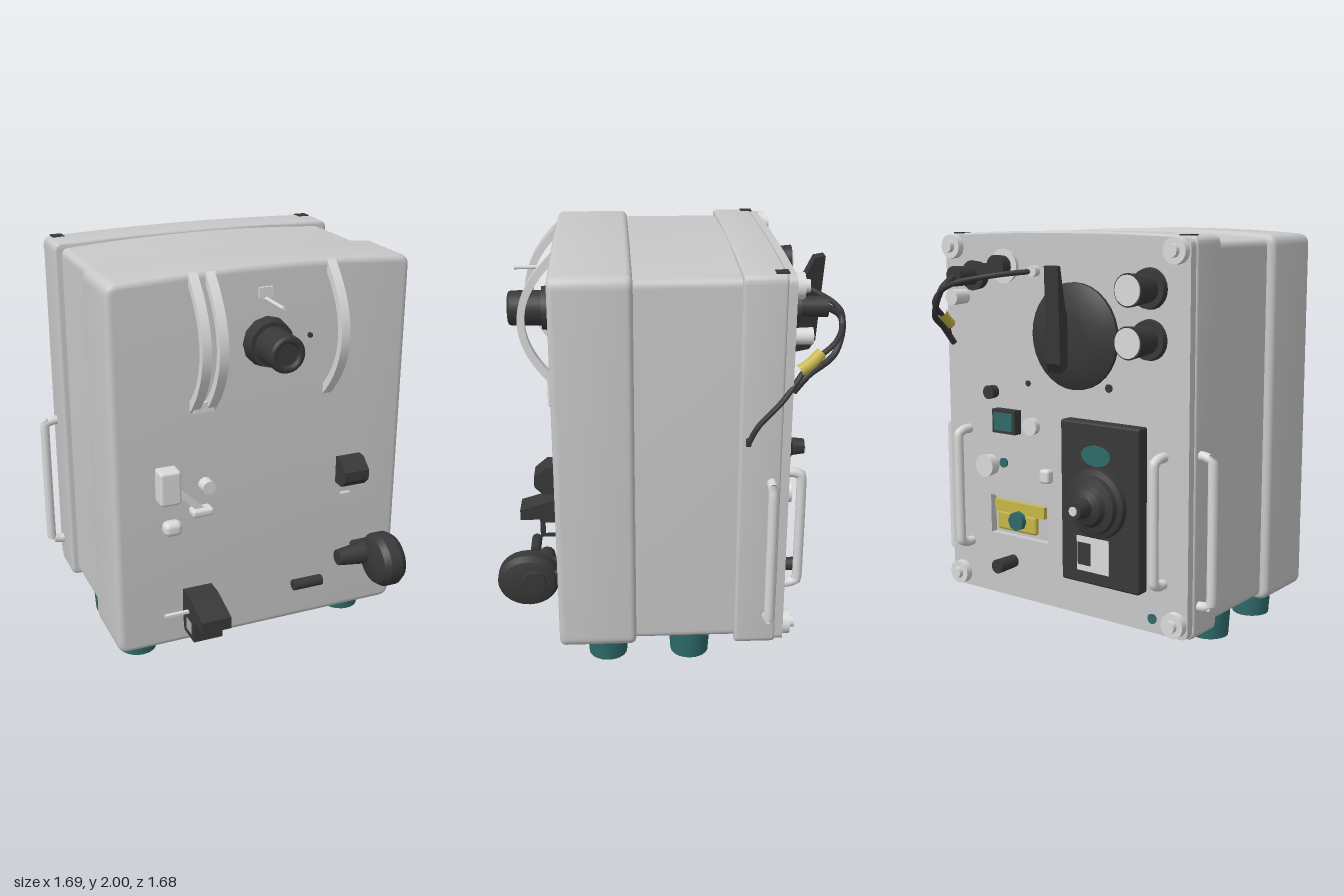
import * as THREE from 'three';
import { toCreasedNormals } from 'three/addons/utils/BufferGeometryUtils.js';
import { RoundedBoxGeometry } from 'three/addons/geometries/RoundedBoxGeometry.js';

const material = (name, color) => Object.assign(new THREE.MeshStandardMaterial({ color }), { name });

export function createModel() {
  const shell = material('shell grey', 0xc8c8c8);
  const pale = material('pale fittings', 0xd9d9d9);
  const dark = material('dark plastic', 0x383838);
  const teal = material('teal', 0x2f6a6a);
  const yellow = material('yellow', 0xc8b746);

  const model = new THREE.Group();
  model.name = 'instrumentCase';

  const add = (name, geo, mat, x = 0, y = 0, z = 0) => {
    const mesh = new THREE.Mesh(geo, mat);
    mesh.name = name;
    mesh.position.set(x, y, z);
    model.add(mesh);
    return mesh;
  };
  const box = (w, h, d) => new THREE.BoxGeometry(w, h, d);
  const rbox = (w, h, d, r = 0.015) => new RoundedBoxGeometry(w, h, d, 2, r);
  // cylinder along z; first radius is the +z end
  const zCyl = (rFront, rBack, len, seg = 24) =>
    new THREE.CylinderGeometry(rFront, rBack, len, seg).rotateX(Math.PI / 2);
  // profile drawn in (z, y), given a width along x and centred on x = 0
  const sideExtrude = (shape, width) =>
    new THREE.ExtrudeGeometry(shape, { depth: width, bevelEnabled: false, curveSegments: 20 })
      .rotateY(-Math.PI / 2).translate(width / 2, 0, 0);
  const polygon = (pts) => new THREE.Shape(pts.map(([a, b]) => new THREE.Vector2(a, b)));
  // lathe profile [radius, distance] pointing out of the back (-z)
  const backLathe = (pts, seg = 32) => toCreasedNormals(
    new THREE.LatheGeometry(pts.map(([r, h]) => new THREE.Vector2(r, h)), seg).rotateX(-Math.PI / 2), 0.6);

  // ---- Case: rounded slabs with a slightly bowed top ----
  const outline = (w, y0, yEdge, yTop, r) => {
    const s = new THREE.Shape();
    s.moveTo(-w + r, y0);
    s.lineTo(w - r, y0);
    s.quadraticCurveTo(w, y0, w, y0 + r);
    s.lineTo(w, yEdge - r);
    s.quadraticCurveTo(w, yEdge, w - r, yEdge);
    s.quadraticCurveTo(0, 2 * yTop - yEdge, -w + r, yEdge);
    s.quadraticCurveTo(-w, yEdge, -w, yEdge - r);
    s.lineTo(-w, y0 + r);
    s.quadraticCurveTo(-w, y0, -w + r, y0);
    return s;
  };
  const slab = (shape, z0, z1, bevel) => toCreasedNormals(
    new THREE.ExtrudeGeometry(shape, {
      depth: z1 - z0 - 2 * bevel, bevelEnabled: bevel > 0, bevelSize: bevel, bevelThickness: bevel,
      bevelOffset: -bevel, bevelSegments: 4, curveSegments: 10,
    }).translate(0, 0, z0 + bevel), 0.6);
  add('frontCover', slab(outline(0.755, 0.12, 1.975, 2.0, 0.06), 0.17, 0.545, 0.03), shell);
  add('caseMiddle', slab(outline(0.715, 0.14, 1.95, 1.975, 0.04), -0.36, 0.22, 0), shell);
  add('rearFlange', slab(outline(0.752, 0.12, 1.975, 1.99, 0.04), -0.51, -0.31, 0.015), shell);

  // rear panel with a recessed window
  const panelShape = outline(0.745, 0.13, 1.965, 1.98, 0.04);
  panelShape.holes.push(new THREE.Path([
    [0.09, 0.45], [0.09, 0.65], [0.47, 0.65], [0.47, 0.45]].map(([a, b]) => new THREE.Vector2(a, b))));
  add('rearPanel', slab(panelShape, -0.548, -0.5, 0), shell);

  // ---- Feet, bottom bracket, corner fasteners ----
  for (const s of [-1, 1]) {
    for (const z of [0.31, -0.1]) {
      add('foot', new THREE.CylinderGeometry(0.105, 0.095, 0.15, 20), teal, s * 0.585, 0.075, z);
    }
    for (const y of [0.2, 1.91]) {
      add('cornerBoss', zCyl(0.06, 0.06, 0.04), pale, s * 0.68, y, -0.565);
      add('cornerScrew', zCyl(0.03, 0.03, 0.05, 12), pale, s * 0.68, y, -0.585);
    }
    add('cornerPocket', box(0.06, 0.006, 0.06), dark, s * 0.69, 1.977, -0.485);
  }
  const bracket = polygon([[-0.42, 0.14], [-0.42, 0.06], [-0.24, 0.05], [-0.22, 0.005], [0.11, 0.005],
    [0.13, 0.06], [0.41, 0.06], [0.41, 0.14]]);
  add('bottomBracket', new THREE.ExtrudeGeometry(bracket, { depth: 0.05, bevelEnabled: false }), shell, 0, 0, 0.165);

  // ---- Tube handles on the sides and the rear ----
  const tubeHandle = (y0, y1, out) => new THREE.TubeGeometry(new THREE.CatmullRomCurve3([
    [-0.02, y0], [out - 0.045, y0], [out - 0.012, y0 + 0.012], [out, y0 + 0.05],
    [out, y1 - 0.05], [out - 0.012, y1 - 0.012], [out - 0.045, y1], [-0.02, y1],
  ].map(([x, y]) => new THREE.Vector3(x, y, 0)), false, 'catmullrom', 0.3), 60, 0.024, 10);
  for (const s of [-1, 1]) {
    add('sideHandle', tubeHandle(0.28, 0.99, 0.075), pale, s * 0.745, 0, -0.465).rotation.y = s > 0 ? 0 : Math.PI;
    add('rearHandle', tubeHandle(0.38, 0.98, 0.085), pale, s * 0.61, 0, -0.545).rotation.y = Math.PI / 2;
  }

  // ---- Front: bowed strips ----
  const bow = new THREE.Shape();
  bow.moveTo(0.54, 1.99);
  bow.quadraticCurveTo(0.88, 1.66, 0.54, 1.33);
  bow.lineTo(0.54, 1.385);
  bow.quadraticCurveTo(0.81, 1.66, 0.54, 1.935);
  bow.closePath();
  for (const x of [-0.352, -0.27, 0.333]) {
    add('bowedStrip', toCreasedNormals(sideExtrude(bow, 0.045), 0.6), pale, x);
  }
  add('stripBridge', box(0.1, 0.05, 0.03), pale, -0.31, 1.36, 0.55);

  // front lens barrel with collar and bore
  add('lensCollar', zCyl(0.11, 0.122, 0.07, 12), dark, 0.01, 1.635, 0.575);
  add('lensBarrel', zCyl(0.088, 0.088, 0.2), dark, 0.01, 1.635, 0.66);
  add('lensRim', new THREE.TorusGeometry(0.07, 0.018, 8, 28), dark, 0.01, 1.635, 0.762);
  add('frontPin', zCyl(0.01, 0.01, 0.2, 8), pale, 0, 1.84, 0.64);
  add('pinPlate', box(0.07, 0.05, 0.015), pale, 0, 1.87, 0.55);
  add('frontDot', zCyl(0.012, 0.012, 0.02, 10), dark, 0.23, 1.64, 0.55);

  // front pale fittings
  add('paleBlock', rbox(0.105, 0.17, 0.09), pale, -0.5, 1.005, 0.585);
  add('paleLever', box(0.16, 0.03, 0.03), pale, -0.38, 0.895, 0.565).rotation.z = -0.75;
  add('paleLeverTip', rbox(0.11, 0.04, 0.07), pale, -0.33, 0.84, 0.57);
  add('paleButton', zCyl(0.033, 0.036, 0.06, 16), pale, -0.3, 0.965, 0.57);
  add('paleKnob', rbox(0.095, 0.075, 0.07, 0.03), pale, -0.48, 0.78, 0.575);
  add('palePin', box(0.12, 0.012, 0.02), pale, -0.48, 0.335, 0.62);
  add('paleSlot', box(0.05, 0.01, 0.02), pale, 0.455, 0.785, 0.55);

  // front dark fittings
  const cube = polygon([[0.54, 0.85], [0.54, 0.99], [0.59, 0.99], [0.65, 0.94], [0.65, 0.89], [0.61, 0.85]]);
  add('frontSwitch', sideExtrude(cube, 0.13), dark, 0.465);
  const latch = polygon([[0.54, 0.42], [0.63, 0.42], [0.8, 0.37], [0.8, 0.31], [0.69, 0.31], [0.69, 0.2], [0.56, 0.2], [0.54, 0.3]]);
  latch.holes.push(new THREE.Path([[0.59, 0.225], [0.59, 0.29], [0.66, 0.29], [0.66, 0.225]]
    .map(([a, b]) => new THREE.Vector2(a, b))));
  add('frontLatch', sideExtrude(latch, 0.15), dark, -0.345);
  add('crossBar', new THREE.CylinderGeometry(0.027, 0.027, 0.155, 12).rotateZ(Math.PI / 2), dark, 0.19, 0.395, 0.68);

  // front hand wheel and its spindle
  const rim = [[0, -0.075], [0.08, -0.075], [0.12, -0.06], [0.14, -0.03], [0.14, 0.03], [0.12, 0.06], [0.07, 0.075], [0, 0.075]];
  const wheel = toCreasedNormals(new THREE.LatheGeometry(rim.map(([r, h]) => new THREE.Vector2(r, h)), 28).rotateZ(-Math.PI / 2), 0.5);
  add('handWheel', wheel, dark, 0.615, 0.445, 0.69).scale.set(1, 0.96, 1.06);
  add('wheelSpindle', new THREE.CylinderGeometry(0.06, 0.04, 0.16, 12).rotateZ(-Math.PI / 2), dark, 0.475, 0.455, 0.61);
  add('wheelMount', rbox(0.16, 0.1, 0.1), dark, 0.58, 0.45, 0.57);
  add('wheelHub', new THREE.CylinderGeometry(0.055, 0.06, 0.02, 20).rotateZ(-Math.PI / 2), dark, 0.695, 0.46, 0.66);

  // ---- Rear: rotary selector with a leaning lever ----
  add('selectorDisc', backLathe([[0.255, 0], [0.255, 0.02], [0.2, 0.05], [0.1, 0.065], [0, 0.065]]), dark, -0.1, 1.5, -0.545);
  const blade = polygon([[-0.56, 1.36], [-0.56, 1.58], [-0.66, 1.64], [-0.78, 1.84], [-0.84, 1.84], [-0.805, 1.4], [-0.77, 1.355]]);
  const lever = sideExtrude(blade, 0.08);
  const p = lever.attributes.position;
  for (let i = 0; i < p.count; i++) p.setX(i, p.getX(i) - 0.03 + (p.getZ(i) + 0.56) * 0.6);
  lever.computeVertexNormals();
  add('selectorLever', lever, dark);

  // rear flared knobs with pale ends
  for (const y of [1.51, 1.74]) {
    add('knobBase', zCyl(0.095, 0.09, 0.03), dark, -0.53, y, -0.56);
    add('flaredKnob', zCyl(0.06, 0.075, 0.17), dark, -0.53, y, -0.635);
    add('knobEnd', zCyl(0.068, 0.068, 0.008), pale, -0.53, y, -0.722);
  }

  // rear joystick unit
  add('joystickPlate', rbox(0.46, 0.79, 0.075, 0.012), dark, -0.285, 0.715, -0.578);
  add('joystickBoot', backLathe([[0.17, 0], [0.165, 0.03], [0.14, 0.04], [0.135, 0.065], [0.1, 0.075], [0.085, 0.1],
    [0.05, 0.115], [0.042, 0.185], [0, 0.185]]), dark, -0.28, 0.73, -0.613);
  add('joystickTip', zCyl(0.022, 0.022, 0.01, 12), pale, -0.28, 0.73, -0.801);
  add('tealLabel', zCyl(1, 1, 0.008, 24), teal, -0.27, 0.955, -0.617).scale.set(0.085, 0.05, 1);
  add('palePlate', box(0.19, 0.17, 0.008), pale, -0.25, 0.47, -0.617);
  add('plateInsert', box(0.075, 0.11, 0.008), dark, -0.2, 0.47, -0.62);

  // recessed window contents
  add('gaugeBar', box(0.33, 0.06, 0.03), yellow, 0.29, 0.595, -0.52);
  add('gaugeBody', rbox(0.26, 0.1, 0.035), yellow, 0.31, 0.52, -0.52);
  add('gaugeNut', zCyl(0.05, 0.05, 0.06, 8), teal, 0.29, 0.535, -0.535);

  // small rear controls: [name, x, y, radius, length, material]
  for (const [name, x, y, r, len, mat] of [
    ['darkButton', 0.43, 1.19, 0.035, 0.05, dark], ['roundSwitch', 0.17, 1.04, 0.045, 0.04, pale],
    ['roundKnob', 0.46, 0.81, 0.058, 0.06, pale], ['tealButton', 0.37, 0.83, 0.025, 0.015, teal],
    ['darkPlug', 0.32, 0.32, 0.036, 0.13, dark], ['tealDot', -0.55, 0.2, 0.025, 0.01, teal],
    ['panelScrew', -0.3, 1.27, 0.02, 0.012, dark], ['panelScrew', 0.2, 1.25, 0.015, 0.01, dark],
    ['socketPlate', 0.33, 1.82, 0.085, 0.03, pale], ['socketPlug', 0.33, 1.82, 0.055, 0.09, dark],
    ['cablePlug', 0.52, 1.77, 0.05, 0.18, dark], ['cablePlugBase', 0.52, 1.77, 0.075, 0.05, dark],
    ['paleSocket', 0.62, 1.66, 0.04, 0.1, pale], ['cableEntry', 0.14, 1.8, 0.028, 0.04, pale],
  ]) add(name, zCyl(r * 0.9, r, len, 18), mat, x, y, -0.545 - len / 2);
  add('toggleBlock', rbox(0.06, 0.07, 0.05), pale, 0.08, 0.8, -0.565);
  add('tealSwitchFrame', box(0.15, 0.12, 0.05), dark, 0.33, 1.05, -0.57);
  add('tealSwitchFace', box(0.12, 0.09, 0.008), teal, 0.33, 1.05, -0.597);
  add('plugArm', box(0.22, 0.06, 0.05), dark, 0.42, 1.8, -0.585);

  // rear cables, gathered by a yellow tie
  const cable = (pts, r) => new THREE.TubeGeometry(
    new THREE.CatmullRomCurve3(pts.map((q) => new THREE.Vector3(...q))), 60, r, 8);
  add('cable', cable([[0.14, 1.8, -0.56], [0.28, 1.78, -0.7], [0.48, 1.73, -0.8], [0.62, 1.64, -0.76],
    [0.69, 1.54, -0.62], [0.76, 1.4, -0.5], [0.77, 1.28, -0.39], [0.765, 1.2, -0.35]], 0.013), dark);
  add('cable', cable([[0.52, 1.77, -0.72], [0.53, 1.72, -0.79], [0.63, 1.58, -0.75], [0.7, 1.5, -0.62], [0.7, 1.42, -0.555]], 0.016), dark);
  add('cableTie', cable([[0.66, 1.59, -0.68], [0.685, 1.55, -0.63], [0.7, 1.52, -0.58]], 0.03), yellow);
  add('cableEnd', rbox(0.025, 0.04, 0.025, 0.008), dark, 0.76, 1.2, -0.35);

  return model;
}
